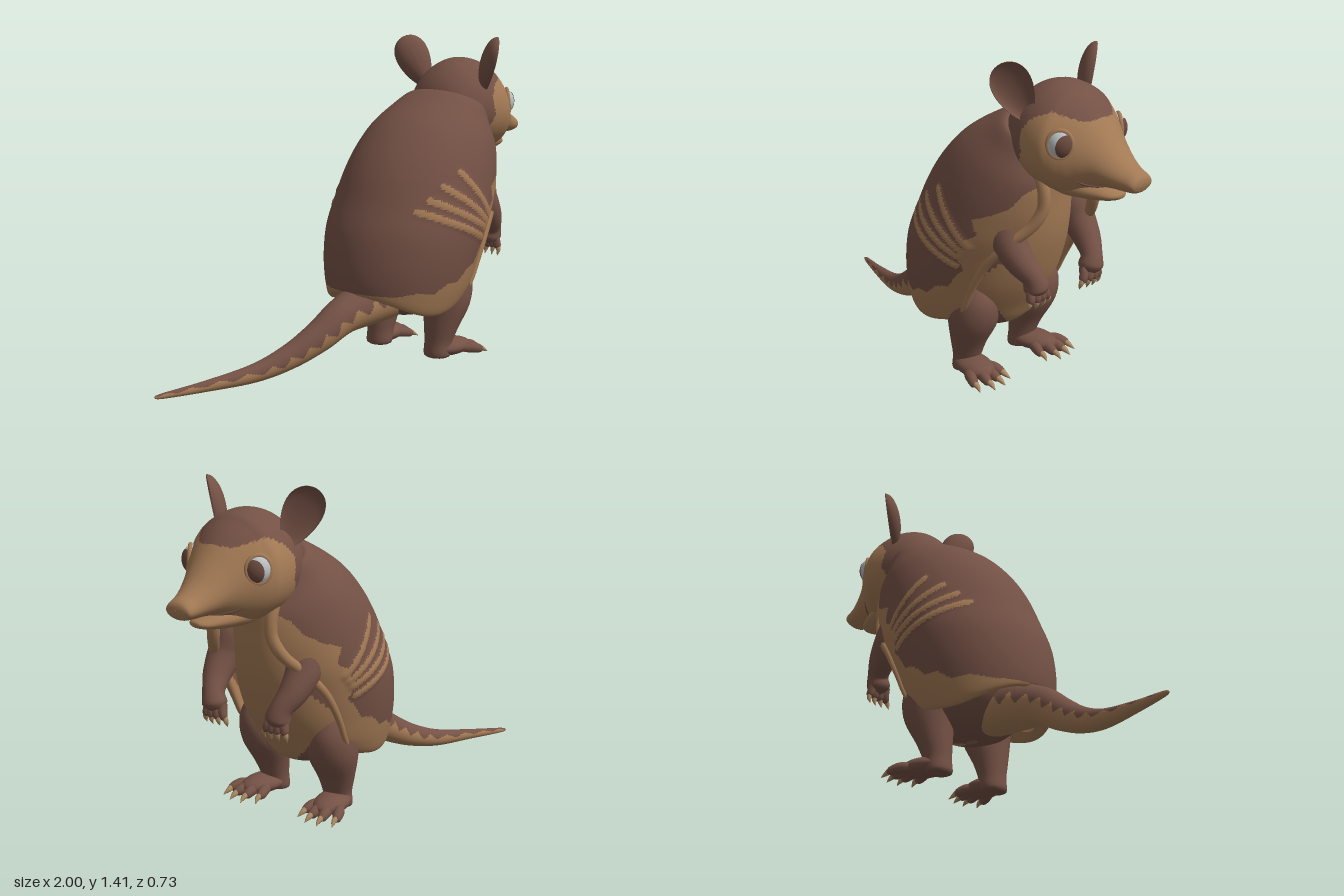
import * as THREE from 'three';

const mat = (name, color) => new THREE.MeshStandardMaterial({ name, color, side: THREE.DoubleSide });
const V = (x, y, z) => new THREE.Vector3(x, y, z);

// Smooth interpolation through table rows, t in 0..1
const spline = rows => t => {
  const n = rows.length - 1, i = Math.min(Math.floor(t * n), n - 1), k = t * n - i;
  const [a, b, c, d] = [-1, 0, 1, 2].map(o => rows[Math.max(0, Math.min(n, i + o))]);
  return b.map((_, j) => b[j] + 0.5 * k * (c[j] - a[j] + k * (2 * a[j] - 5 * b[j] + 4 * c[j] - d[j]
    + k * (3 * (b[j] - c[j]) + d[j] - a[j]))));
};

// Grid surface; pick(point, u, v) chooses the material of each small face
function skin(name, mats, fn, nu, nv, closed = true, pick = () => 0) {
  const cols = closed ? nu : nu + 1, pts = [], faces = mats.map(() => []);
  for (let j = 0; j <= nv; j++) for (let i = 0; i < cols; i++) pts.push(fn(i / nu, j / nv));
  for (let j = 0; j < nv; j++) for (let i = 0; i < nu; i++) {
    const a = j * cols + i, b = j * cols + (i + 1) % cols, c = b + cols, d = a + cols;
    for (const tri of [[a, b, c], [a, c, d]]) {
      const mid = V(0, 0, 0);
      tri.forEach(q => mid.addScaledVector(pts[q], 1 / 3));
      faces[pick(mid, (i + 0.5) / nu, (j + 0.5) / nv)].push(...tri);
    }
  }
  const geo = new THREE.BufferGeometry().setFromPoints(pts);
  geo.setIndex(faces.flat());
  let start = 0;
  faces.forEach((f, m) => { geo.addGroup(start, f.length, m); start += f.length; });
  geo.computeVertexNormals();
  const mesh = new THREE.Mesh(geo, mats.length > 1 ? mats : mats[0]);
  mesh.name = name;
  return mesh;
}

// Round tapered limb through [x, y, z, radius] points; u = 0 is the upper side
function limb(name, mats, rows, nu = 12, nv = 20, pick) {
  const at = spline(rows);
  return skin(name, mats, (u, v) => {
    const [x, y, z, r] = at(v), p = at(Math.max(0, v - 0.01)), q = at(Math.min(1, v + 0.01));
    const t = V(q[0] - p[0], q[1] - p[1], q[2] - p[2]).normalize();
    const n = t.clone().cross(V(0, 0, 1)).normalize(), m = t.clone().cross(n), a = u * 2 * Math.PI;
    return V(x, y, z).addScaledVector(n, r * Math.cos(a)).addScaledVector(m, r * Math.sin(a));
  }, nu, nv, true, pick);
}

// Loft along x from rows [x, bottom, top, halfWidth], a little wider below
const muzzle = rows => {
  const at = spline(rows);
  return (u, v) => {
    const [x, lo, hi, w] = at(v), a = u * 2 * Math.PI, s = Math.sin(a);
    return V(x, (lo + hi) / 2 + (hi - lo) / 2 * s, w * Math.cos(a) * (1 - 0.1 * s));
  };
};

const inside = (x, y, poly) => {
  let hit = false;
  poly.forEach(([x1, y1], i) => {
    const [x2, y2] = poly[(i + 1) % poly.length];
    if ((y1 > y) !== (y2 > y) && x < (x2 - x1) * (y - y1) / (y2 - y1) + x1) hit = !hit;
  });
  return hit;
};
const lineDistance = (x, y, [x1, y1, x2, y2]) => {
  const dx = x2 - x1, dy = y2 - y1;
  const t = Math.max(0, Math.min(1, ((x - x1) * dx + (y - y1) * dy) / (dx * dx + dy * dy)));
  return Math.hypot(x - x1 - t * dx, y - y1 - t * dy);
};

export function createModel() {
  const model = new THREE.Group();
  model.name = 'armadillo';
  const brown = mat('brown hide', 0x745145), tan = mat('tan skin', 0xa27954), claw = mat('claw', 0xab8862);
  const white = mat('eye white', 0xb8bec2), iris = mat('iris', 0x69483c);
  const add = (...m) => model.add(...m);

  // Shell: rows of back height, front height, back x, edge x, half width, edge half width
  const shellAt = spline([
    [.37, .32, -.1, .18, .23, .21], [.34, .27, -.16, .24, .28, .255], [.38, .34, -.175, .315, .315, .275],
    [.48, .46, -.17, .375, .342, .28], [.6, .58, -.145, .445, .355, .27], [.72, .68, -.095, .53, .35, .235],
    [.85, .76, -.035, .6, .335, .18], [.96, .84, .04, .632, .315, .15], [1.06, .92, .14, .63, .285, .15],
    [1.14, 1.0, .27, .6, .24, .15], [1.185, 1.08, .38, .57, .2, .14], [1.16, 1.07, .43, .54, .16, .12]]);
  const stripes = [[.205, .855, .39, .65], [.115, .8, .37, .625], [.05, .745, .35, .6], [0, .7, .33, .56]];
  const stripeGap = (x, y) => Math.min(...stripes.map(s => lineDistance(x, y, s)));
  const shellPoint = (u, v) => {
    const [yb, yf, xb, xe, w, ze] = shellAt(v), end = Math.PI - Math.asin(Math.min(1, ze / w));
    const a = (u * 2 - 1) * end, r = (xe - xb) / (1 - Math.cos(end));
    const x = xb + r * (1 - Math.cos(a)), s = (x - xb) / (xe - xb);
    const sag = 0.075 * Math.max(0, 1 - v / 0.35) * Math.sin(Math.PI * Math.min(1, s));
    const y = yb + (yf - yb) * s - sag;
    const ridge = Math.max(0, 1 - stripeGap(x, y) / 0.022);
    return V(x, y, w * Math.sin(a) * (1 + 0.025 * ridge));
  };
  const frontPatch = [[.64, .94], [.59, .9], [.55, .84], [.49, .805], [.41, .775], [.43, .71], [.36, .67],
    [.38, .64], [.34, .6], [.36, .55], [.31, .48], [.34, .4], [.7, .4], [.7, .94]];
  const hemPatch = [[-.3, .355], [-.1, .345], [-.03, .36], [.04, .35], [.1, .39], [.16, .39], [.22, .44],
    [.28, .45], [.33, .52], [.42, .58], [.5, .2], [-.3, .2]];
  add(skin('shell', [brown, tan], shellPoint, 190, 130, false, p =>
    stripeGap(p.x, p.y) < 0.015 || inside(p.x, p.y, frontPatch) || inside(p.x, p.y, hemPatch) ? 1 : 0));

  // Belly and torso, tan in front and pinched between the arms
  const bodyAt = spline([[.19, .17, .23, .02], [.205, .1, .31, .1], [.24, .03, .37, .17], [.32, -.03, .42, .235],
    [.44, -.06, .49, .265], [.58, -.04, .54, .27], [.7, 0, .565, .26], [.85, .1, .575, .23],
    [.95, .2, .585, .2], [1.05, .3, .61, .17], [1.1, .4, .56, .05]]);
  const bellyWidth = y => 0.15 + 0.09 * Math.max(0, Math.min(1, (0.64 - y) / 0.16));
  add(skin('torso', [brown, tan], (u, v) => {
    const [y, x0, x1, w] = bodyAt(v), a = u * 2 * Math.PI;
    return V((x0 + x1) / 2 + (x1 - x0) / 2 * Math.cos(a), y, w * Math.sin(a));
  }, 90, 70, true, p => p.x > 0.24 && p.y > 0.18 + Math.abs(p.z) && Math.abs(p.z) < bellyWidth(p.y) ? 1 : 0));

  // Head with brown skull cap
  const headPoint = muzzle([[.38, 1.08, 1.14, .02], [.40, 1.02, 1.2, .11], [.44, .96, 1.255, .165],
    [.5, .92, 1.3, .2], [.58, .895, 1.322, .222], [.66, .89, 1.31, .227], [.7, .89, 1.285, .212],
    [.74, .9, 1.255, .183], [.78, .92, 1.215, .15], [.83, .943, 1.155, .115], [.89, .95, 1.09, .087],
    [.94, .95, 1.052, .07], [.98, .955, 1.03, .062], [.993, .975, 1.015, .045], [.997, .994, .996, .001]]);
  const cap = [[.3, 1.4], [.3, .9], [.52, .95], [.575, 1.07], [.56, 1.15], [.6, 1.2], [.67, 1.235],
    [.73, 1.215], [.77, 1.2], [.84, 1.22], [.84, 1.4]];
  add(skin('head', [brown, tan], headPoint, 100, 110, true, p => inside(p.x, p.y, cap) ? 0 : 1));
  add(skin('lowerJaw', [tan], muzzle([[.5, .97, .99, .02], [.56, .915, 1.02, .1], [.66, .882, 1, .125],
    [.76, .882, .985, .105], [.82, .888, .965, .08], [.87, .898, .94, .052], [.893, .908, .93, .025],
    [.897, .918, .92, .001]]), 32, 36));

  for (const s of [1, -1]) {
    const side = s > 0 ? 'right' : 'left';
    const Z = rows => rows.map(([x, y, z, r]) => [x, y, z * s, r]);

    // Rolled shell edge, thicker beside the neck
    const rim = [];
    for (let i = 0; i <= 16; i++) {
      const p = shellPoint(s > 0 ? 1 : 0, 0.1 + 0.86 * i / 16);
      rim.push([p.x, p.y, p.z, i % 16 ? 0.008 + 0.018 * Math.min(1, i / 9) : 0.003]);
    }
    add(limb(side + 'ShellRim', [tan], rim, 12, 48));

    // Corner of the smile on the head surface
    const smile = [[7.8, -.56], [8.3, -.72], [8.8, -.87], [9.2, -.94]].map(([i, h], k) => {
      const p = headPoint(Math.asin(h) / (2 * Math.PI), i / 14);
      return [p.x, p.y, s * p.z, k % 3 ? 0.005 : 0.001];
    });
    add(limb(side + 'MouthLine', [brown], smile, 8, 16));

    // Eye: ball, large iris and lid
    const eye = new THREE.Group();
    eye.name = side + 'Eye';
    eye.position.set(0.714, 1.12, s * 0.155);
    eye.scale.y = 1.12;
    const turn = (mesh, name, dir, axis) => {
      mesh.name = name;
      mesh.quaternion.setFromUnitVectors(axis, dir.normalize());
      eye.add(mesh);
      return mesh;
    };
    turn(new THREE.Mesh(new THREE.SphereGeometry(0.055, 28, 18), white), 'eyeball', V(1, 0, 0), V(0, 1, 0));
    turn(new THREE.Mesh(new THREE.SphereGeometry(0.0565, 28, 10, 0, Math.PI * 2, 0, 0.8), iris), 'iris',
      V(0.92, -0.06, s * 0.36), V(0, 1, 0));
    const out = V(0.65, 0.12, s * 0.76).normalize();
    const lid = turn(new THREE.Mesh(new THREE.TorusGeometry(0.047, 0.009, 10, 32), tan), 'eyelid', out, V(0, 0, 1));
    lid.position.copy(out).multiplyScalar(0.026);
    add(eye);

    // Cupped ear, narrow at the base: the front half of a sphere is pushed back into a bowl
    const earGeo = new THREE.SphereGeometry(1, 32, 24), q = earGeo.attributes.position;
    for (let i = 0; i < q.count; i++) {
      const x = q.getX(i), y = q.getY(i), z = q.getZ(i);
      q.setXYZ(i, 0.055 * (x > 0 ? -0.6 * x : x), 0.128 * y, 0.076 * z * (1 + 0.3 * y));
    }
    earGeo.computeVertexNormals();
    const ear = new THREE.Mesh(earGeo, brown);
    ear.name = side + 'Ear';
    ear.position.set(0.54, 1.297, s * 0.222);
    ear.rotation.set(s * 0.58, -s * 0.75, 0.24);
    add(ear);

    // Arm, fingers and claws
    add(limb(side + 'Arm', [brown], Z([[.44, .85, .18, .01], [.47, .79, .185, .065], [.5, .69, .205, .073],
      [.56, .61, .2, .06], [.61, .55, .178, .046], [.62, .5, .163, .05], [.622, .468, .157, .005]]), 20, 36));
    for (let i = 0; i < 4; i++) {
      const k = i - 1.5, z = 0.16 + k * 0.027, tip = 0.155 + k * 0.037, x = 0.632 - Math.abs(k) * 0.006;
      add(limb(side + 'Finger', [brown], Z([[x - .01, .51, z, .015], [x, .48, z, .019],
        [x + .004, .455, (z + tip) / 2, .016], [x + .004, .445, tip, .003]]), 10, 10));
      add(limb(side + 'FingerClaw', [claw], Z([[x + .003, .46, (z + tip) / 2, .012],
        [x + .003, .44, tip, .01], [x - .006, .415, tip, .001]]), 8, 8));
    }

    // Leg: rows of height, centre x, centre z, radius x, radius z
    const legAt = spline([[.015, .22, .17, .01, .01], [.02, .225, .17, .05, .06], [.08, .235, .17, .058, .064],
      [.15, .25, .175, .073, .08], [.25, .278, .18, .102, .106], [.34, .283, .19, .112, .1],
      [.41, .27, .195, .1, .08], [.47, .25, .19, .07, .05], [.5, .25, .18, .005, .005]]);
    add(skin(side + 'Leg', [brown], (u, v) => {
      const [y, x, z, rx, rz] = legAt(v), a = u * 2 * Math.PI;
      return V(x + rx * Math.cos(a), y, s * (z + rz * Math.sin(a)));
    }, 28, 32));

    // Foot, toes and claws
    const foot = new THREE.Mesh(new THREE.SphereGeometry(1, 28, 18), brown);
    foot.name = side + 'Foot';
    foot.scale.set(0.115, 0.04, 0.073);
    foot.position.set(0.29, 0.052, s * 0.185);
    foot.rotation.y = -s * 0.2;
    add(foot);
    for (let i = 0; i < 4; i++) {
      const k = i - 1.5, z = 0.195 + k * 0.034, tip = 0.203 + k * 0.054, x = 0.425 - k * k * 0.014;
      add(limb(side + 'Toe', [brown], Z([[.32, .045, z, .02], [x - .04, .045, (z + tip) / 2, .024],
        [x, .034, tip, .018], [x + .012, .03, tip, .003]]), 10, 12));
      add(limb(side + 'ToeClaw', [claw], Z([[x - .005, .038, tip, .014], [x + .02, .03, tip, .011],
        [x + .045, .014, tip + k * .006, .001]]), 8, 8));
    }
  }

  // Tail: brown above, tan below with a toothed border
  add(limb('tail', [brown, tan], [[.14, .3, 0, .01], [.1, .295, 0, .095], [-.05, .285, 0, .1], [-.2, .25, -.01, .08],
    [-.32, .18, -.035, .067], [-.45, .112, -.08, .053], [-.6, .064, -.135, .039], [-.8, .04, -.21, .023],
    [-.97, .025, -.28, .011], [-1, .023, -.292, .001]], 56, 150, (p, u, v) => {
    const tooth = Math.abs((v * 16) % 1 - 0.5) * 1.1;
    return Math.cos(u * 2 * Math.PI) < tooth - 0.15 + Math.max(0, v - 0.6) * 1.6 ? 1 : 0;
  }));
  return model;
}
